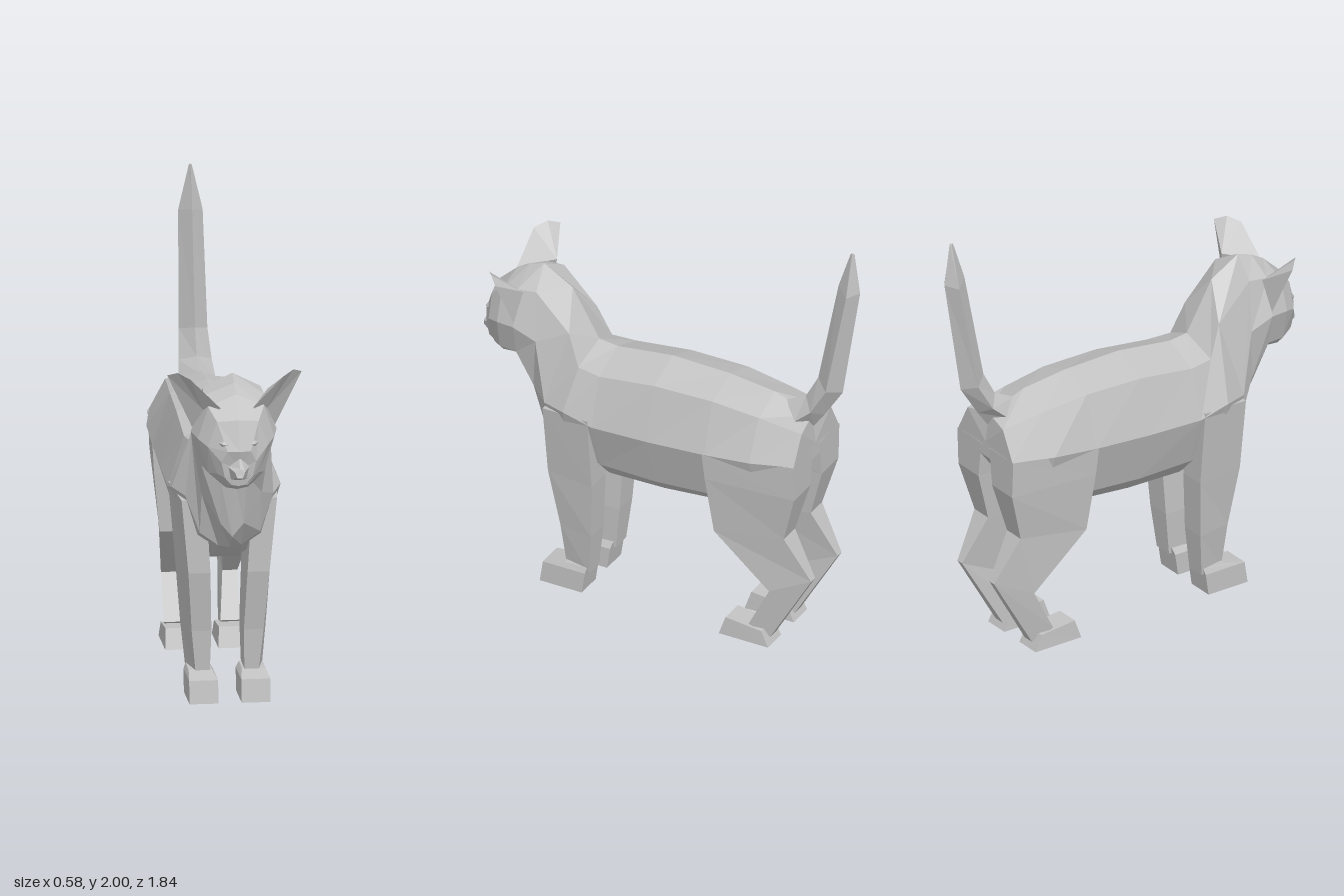
import * as THREE from 'three';

const grey = new THREE.MeshStandardMaterial({ color: 0xc2c2c2, flatShading: true, side: THREE.DoubleSide });
grey.name = 'grey';

function meshFrom(name, points) {
  const geo = new THREE.BufferGeometry();
  geo.setAttribute('position', new THREE.Float32BufferAttribute(points.flat(), 3));
  geo.computeVertexNormals();
  const mesh = new THREE.Mesh(geo, grey);
  mesh.name = name;
  return mesh;
}

// Skin a row of closed rings and cap both ends
function loft(name, rings) {
  const out = [], n = rings[0].length;
  const centre = (r) => [0, 1, 2].map((k) => r.reduce((s, p) => s + p[k], 0) / n);
  const first = rings[0], last = rings[rings.length - 1];
  const c0 = centre(first), c1 = centre(last);
  for (let j = 0; j < n; j++) {
    const k = (j + 1) % n;
    for (let i = 0; i < rings.length - 1; i++) {
      const a = rings[i][j], b = rings[i][k], c = rings[i + 1][k], d = rings[i + 1][j];
      out.push(a, d, c, a, c, b);
    }
    out.push(c0, first[j], first[k], c1, last[k], last[j]);
  }
  return meshFrom(name, out);
}

// Complete a half ring (top centre to bottom centre) on the other side
const whole = (half) => [...half, ...half.slice(1, -1).reverse().map(([x, y, z]) => [-x, y, z])];
const flat = (z, pts) => pts.map(([x, y]) => [x, y, z]);

// Four-cornered limb ring; cb and cf narrow the outer back and front corners
function limbRing([xi, xo, zb, yb, zf, yf], side, cb, cf) {
  const r = [[xo - cb, yb, zb], [xo - cf, yf, zf], [xi, yf, zf], [xi, yb, zb]];
  return side > 0 ? r : r.map(([x, y, z]) => [-x, y, z]).reverse();
}

export function createModel() {
  const cat = new THREE.Group();
  cat.name = 'cat';

  // Trunk, from rump to shoulders
  const trunk = [
    [[0, 1.12, -0.68], [0.13, 1.10, -0.70], [0.2, 0.97, -0.70], [0.1, 0.93, -0.70], [0.04, 0.92, -0.70], [0, 0.92, -0.70]],
    flat(-0.5, [[0, 1.185], [0.145, 1.13], [0.235, 0.95], [0.16, 0.72], [0.07, 0.66], [0, 0.66]]),
    flat(-0.28, [[0, 1.21], [0.16, 1.155], [0.235, 0.925], [0.155, 0.68], [0.07, 0.605], [0, 0.605]]),
    flat(0, [[0, 1.215], [0.165, 1.15], [0.235, 0.905], [0.155, 0.66], [0.07, 0.58], [0, 0.58]]),
    flat(0.27, [[0, 1.18], [0.165, 1.115], [0.235, 0.895], [0.15, 0.66], [0.07, 0.575], [0, 0.575]]),
    [[0, 1.19, 0.36], [0.15, 1.12, 0.38], [0.235, 0.93, 0.41], [0.16, 0.70, 0.43], [0.06, 0.63, 0.43], [0, 0.62, 0.43]],
  ];
  // Neck and chest, then the skull
  const neck = [
    [[0, 1.41, 0.49], [0.125, 1.26, 0.44], [0.19, 0.92, 0.525], [0.13, 0.76, 0.55], [0.05, 0.70, 0.54], [0, 0.69, 0.54]],
    [[0, 1.49, 0.63], [0.125, 1.42, 0.60], [0.17, 1.20, 0.58], [0.13, 0.95, 0.61], [0.05, 0.82, 0.63], [0, 0.76, 0.63]],
  ];
  const head = [
    [[0, 1.465, 0.70], [0.13, 1.41, 0.69], [0.185, 1.25, 0.68], [0.14, 1.10, 0.69], [0.06, 1.045, 0.69], [0, 1.035, 0.69]],
    [[0, 1.43, 0.76], [0.12, 1.38, 0.77], [0.165, 1.24, 0.77], [0.12, 1.09, 0.78], [0.05, 1.03, 0.80], [0, 1.02, 0.80]],
    [[0, 1.34, 0.855], [0.09, 1.33, 0.835], [0.13, 1.22, 0.83], [0.09, 1.10, 0.83], [0.04, 1.05, 0.85], [0, 1.04, 0.85]],
    [[0, 1.21, 0.895], [0.05, 1.21, 0.885], [0.075, 1.16, 0.87], [0.06, 1.09, 0.865], [0.03, 1.055, 0.86], [0, 1.05, 0.86]],
  ];
  cat.add(loft('trunk', trunk.map(whole)));
  cat.add(loft('neck', [trunk[5], ...neck, head[0]].map(whole)));
  cat.add(loft('head', head.map(whole)));

  // Nose
  cat.add(loft('nose', [
    [[0, 1.20, 0.87], [0.05, 1.14, 0.86], [0.035, 1.08, 0.86], [0, 1.075, 0.86]],
    [[0, 1.14, 0.91], [0.022, 1.125, 0.912], [0.012, 1.10, 0.918], [0, 1.10, 0.92]],
  ].map(whole)));

  // Tail, a diamond section: y and z of back, side and front, and half width
  const tail = [
    [1.07, -0.69, 1.12, -0.64, 0.08, 1.16, -0.55],
    [1.14, -0.74, 1.18, -0.71, 0.072, 1.21, -0.65],
    [1.28, -0.83, 1.30, -0.78, 0.062, 1.32, -0.71],
    [1.81, -0.915, 1.80, -0.875, 0.053, 1.82, -0.81],
    [2.0, -0.888, 2.0, -0.88, 0.006, 2.0, -0.87],
  ].map(([yb, zb, ys, zs, w, yf, zf]) => [[0, yb, zb], [w, ys, zs], [0, yf, zf], [-w, ys, zs]]);
  cat.add(loft('tail', tail));

  const limbs = [
    ['frontLeg', 0, 0.03, [
      [0.075, 0.165, 0.32, 0.10, 0.445, 0.10], [0.07, 0.185, 0.30, 0.30, 0.465, 0.30],
      [0.08, 0.205, 0.285, 0.57, 0.515, 0.57], [0.10, 0.236, 0.29, 0.92, 0.525, 0.90]]],
    ['frontPaw', 0, 0, [
      [0.05, 0.175, 0.35, 0, 0.555, 0], [0.05, 0.175, 0.335, 0.10, 0.54, 0.10],
      [0.065, 0.165, 0.33, 0.125, 0.44, 0.122]]],
    ['hindLeg', 0.03, 0, [
      [0.08, 0.165, -0.55, 0.03, -0.46, 0.085], [0.10, 0.165, -0.75, 0.37, -0.56, 0.28],
      [0.07, 0.2, -0.635, 0.57, -0.31, 0.53], [0.05, 0.228, -0.70, 0.80, -0.28, 0.80],
      [0.03, 0.236, -0.70, 0.97, -0.27, 0.92]]],
    ['hindPaw', 0, 0, [
      [0.055, 0.175, -0.56, 0, -0.32, 0], [0.06, 0.17, -0.525, 0.07, -0.35, 0.088]]],
  ];

  for (const side of [1, -1]) {
    const label = side > 0 ? 'Left' : 'Right';
    for (const [name, cb, cf, rings] of limbs) {
      cat.add(loft(name + label, rings.map((r) => limbRing(r, side, cb, cf))));
    }

    // Cupped ear: a rim joined to an inner pit and an outer back point
    const flip = ([x, y, z]) => [x * side, y, z];
    const rim = [[0.07, 1.38, 0.80], [0.2, 1.51, 0.79], [0.25, 1.53, 0.75], [0.29, 1.51, 0.71], [0.18, 1.27, 0.68]].map(flip);
    const pit = flip([0.14, 1.36, 0.735]), back = flip([0.15, 1.42, 0.65]);
    const ear = [];
    rim.forEach((p, i) => {
      const q = rim[(i + 1) % rim.length];
      if (side > 0) ear.push(pit, q, p, back, p, q);
      else ear.push(pit, p, q, back, q, p);
    });
    cat.add(meshFrom('ear' + label, ear));

    // Eye
    const eye = new THREE.Mesh(new THREE.OctahedronGeometry(1), grey);
    eye.name = 'eye' + label;
    eye.scale.set(0.022, 0.014, 0.008);
    eye.position.set(0.068 * side, 1.24, 0.868);
    eye.rotation.set(0, 0.5 * side, 0.2 * side);
    cat.add(eye);
  }
  return cat;
}
